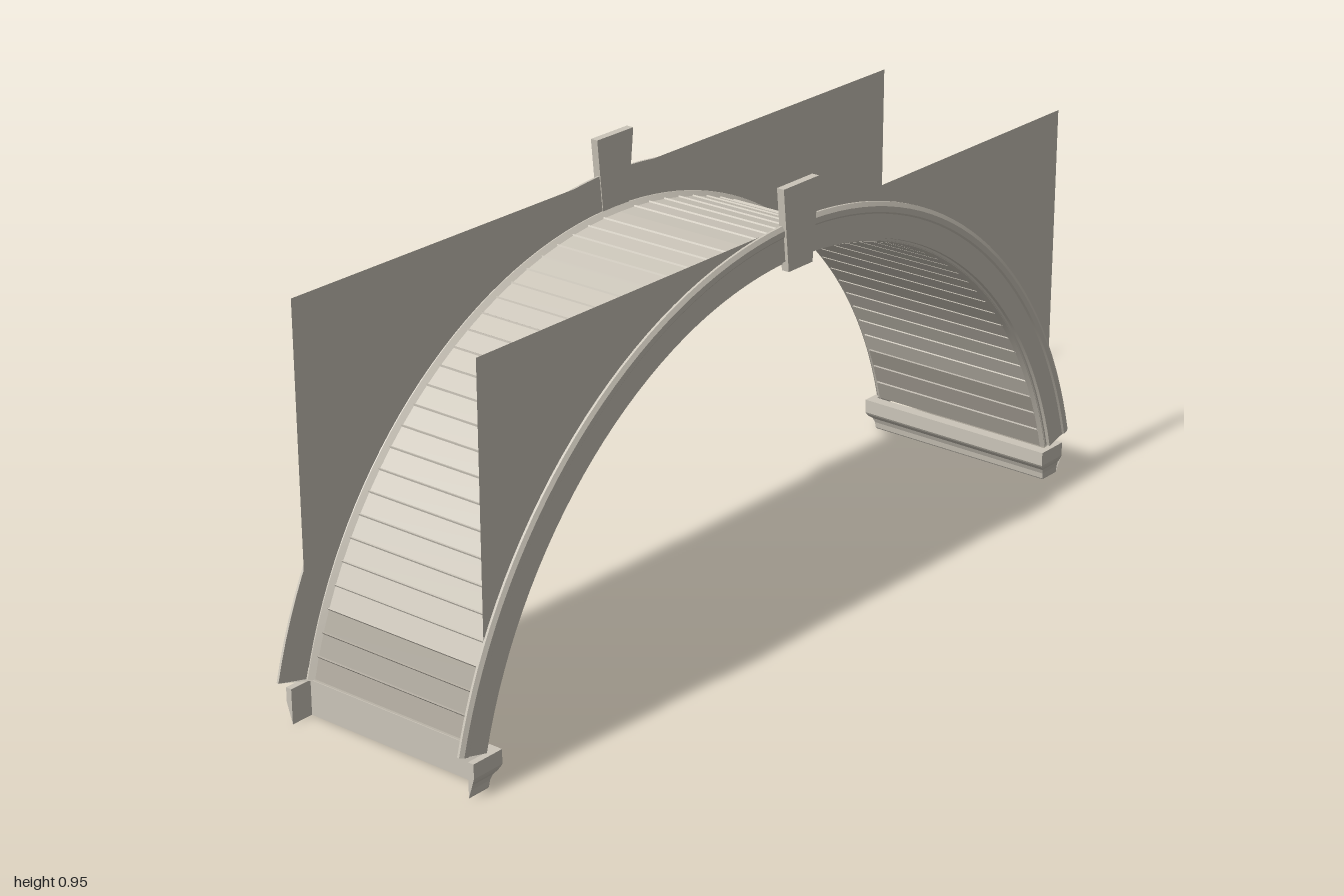
import * as THREE from 'three';
import { toCreasedNormals } from 'three/addons/utils/BufferGeometryUtils.js';

const CY = -0.161;                 // height of the arch centre
const R = 0.946;                   // radius of the vault
const SPRING = 0.2548;             // angle at which the arch springs
const SWEEP = Math.PI - 2 * SPRING;

// Skin a row of equal cross-sections; closed sections get end caps.
function loft(sections, closed) {
  const out = [];
  const n = sections[0].length;
  const tri = (a, b, c) => out.push(...a, ...b, ...c);
  for (let i = 0; i < sections.length - 1; i++) {
    const s = sections[i], t = sections[i + 1];
    for (let j = 0; j < (closed ? n : n - 1); j++) {
      const k = (j + 1) % n;
      tri(s[j], t[j], t[k]);
      tri(s[j], t[k], s[k]);
    }
  }
  if (closed) {
    for (let j = 1; j < n - 1; j++) {
      const s = sections[0], t = sections[sections.length - 1];
      tri(s[0], s[j], s[j + 1]);
      tri(t[0], t[j + 1], t[j]);
    }
  }
  const g = new THREE.BufferGeometry();
  g.setAttribute('position', new THREE.Float32BufferAttribute(out, 3));
  g.computeVertexNormals();
  return g;
}

const onArc = (x, r, a) => [x, CY + r * Math.sin(a), r * Math.cos(a)];

export function createModel() {
  const model = new THREE.Group();
  const stone = new THREE.MeshStandardMaterial({ color: 0xcbc5b9, side: THREE.DoubleSide });
  stone.name = 'pale stone';
  const darkStone = new THREE.MeshStandardMaterial({ color: 0xaca69b, side: THREE.DoubleSide });
  darkStone.name = 'darker stone';

  const add = (name, geometry, material = stone) => {
    const mesh = new THREE.Mesh(geometry, material);
    mesh.name = name;
    model.add(mesh);
    return mesh;
  };

  // Vault: flat courses separated by fine V joints
  const ROWS = 52, STEP = SWEEP / ROWS, JOINT = 0.0025;
  const vault = (from, to) => {
    const sections = [];
    const put = (r, a) => sections.push([onArc(-0.222, r, a), onArc(0.222, r, a)]);
    for (let i = from; i <= to; i++) {
      const a = SPRING + i * STEP;
      if (i === ROWS / 2) { put(R, a); continue; }
      if (i > from) put(R, a - JOINT);
      put(R + 0.003, a);
      if (i < to) put(R, a + JOINT);
    }
    return loft(sections, false);
  };
  add('frontLowerCourses', vault(0, 3), darkStone);
  add('vault', vault(3, ROWS - 3));
  add('backLowerCourses', vault(ROWS - 3, ROWS), darkStone);

  // Moulded arch ring: profile as [x, radius]
  const ringProfile = [
    [0.22, 0.946], [0.23, 0.956], [0.24, 0.958], [0.24, 1.008], [0.243, 1.012],
    [0.243, 1.024], [0.238, 1.033], [0.233, 1.033], [0.233, 0.952],
  ];
  // Spandrel wall above the arch
  const wallShape = new THREE.Shape();
  const wr = 0.95, wz = 0.92, t = Math.acos(wz / wr);
  wallShape.moveTo(wz, 0.865);
  wallShape.lineTo(-wz, 0.865);
  wallShape.absarc(0, CY, wr, Math.PI - t, t, true);
  wallShape.closePath();
  // Tapered keystone
  const keyShape = new THREE.Shape([
    new THREE.Vector2(-0.038, 0.775), new THREE.Vector2(0.038, 0.775),
    new THREE.Vector2(0.056, 0.95), new THREE.Vector2(-0.056, 0.95),
  ]);

  for (const side of [1, -1]) {
    const label = side > 0 ? 'left' : 'right';
    const sections = [];
    for (let i = 0; i <= 64; i++) {
      const a = SPRING + (SWEEP * i) / 64;
      sections.push(ringProfile.map(([x, r]) => onArc(side * x, r, a)));
    }
    if (side < 0) sections.reverse();
    add(label + 'ArchRing', toCreasedNormals(loft(sections, true), 0.3));

    const wall = new THREE.ShapeGeometry(wallShape, 64);
    wall.rotateY(side * Math.PI / 2);
    add(label + 'SpandrelWall', wall).position.x = side * 0.232;

    const key = new THREE.ExtrudeGeometry(keyShape, { depth: 0.017, bevelEnabled: false });
    key.rotateY(side * Math.PI / 2);
    add(label + 'Keystone', key).position.x = side * 0.23;
  }

  // Imposts: a moulding along the inner face, returned around both ends
  const impostProfile = [
    [0, 0], [0.002, 0.003], [0.004, 0.016], [0.009, 0.027], [0.018, 0.034],
    [0.023, 0.04], [0.026, 0.045], [0.026, 0.076], [0, 0.076],
  ];
  const W = 0.231, FACE = 0.917, END = 0.969;
  const impost = loft([
    impostProfile.map(([d, y]) => [-W - d * 0.54, y, END]),
    impostProfile.map(([d, y]) => [-W - d * 0.54, y, FACE - d]),
    impostProfile.map(([d, y]) => [W + d * 0.54, y, FACE - d]),
    impostProfile.map(([d, y]) => [W + d * 0.54, y, END]),
  ].reverse(), true);
  add('frontImpost', impost);
  add('backImpost', impost).rotation.y = Math.PI;

  return model;
}
